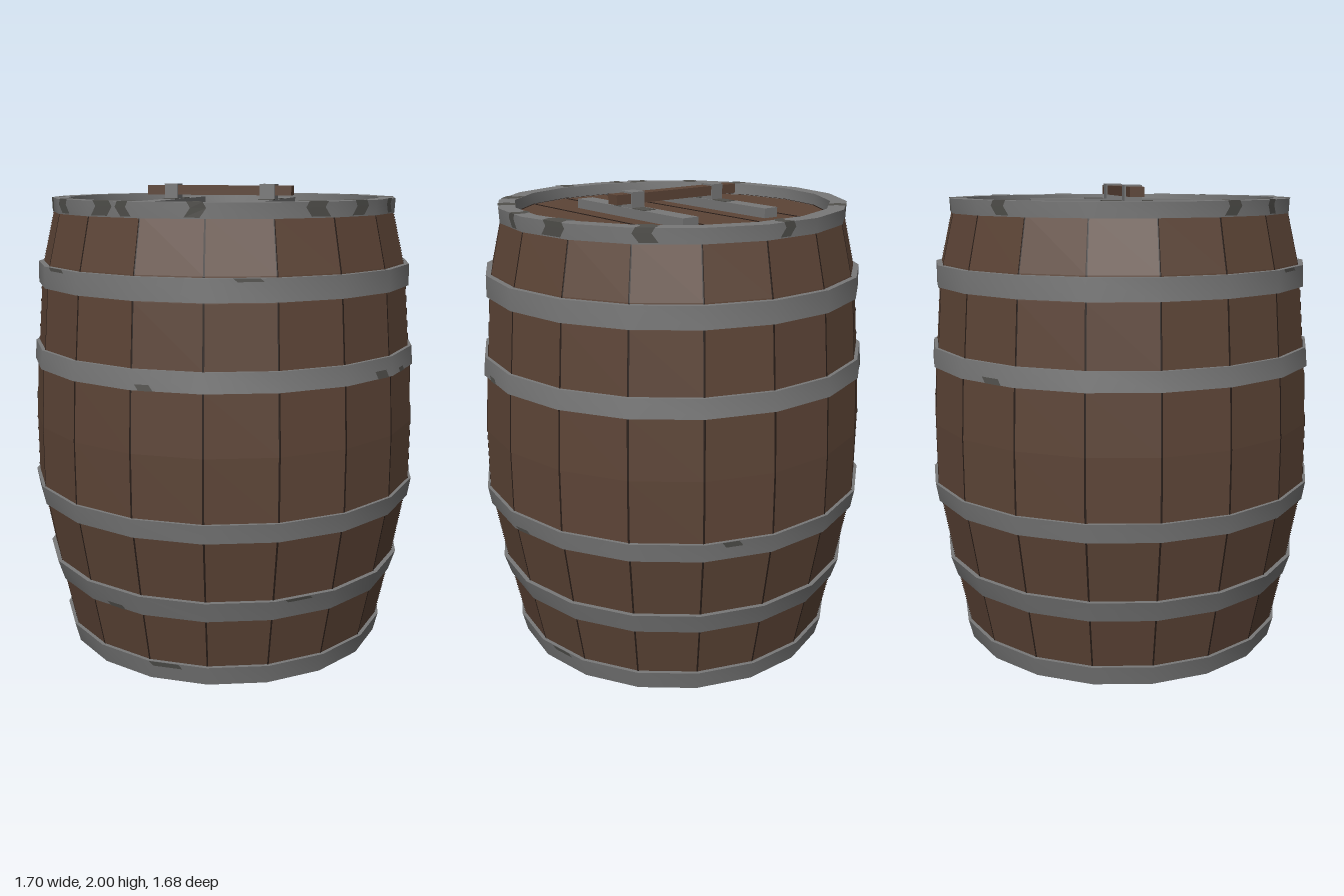
import * as THREE from 'three';
import { toCreasedNormals } from 'three/addons/utils/BufferGeometryUtils.js';

const SIDES = 18;
const STEP = (Math.PI * 2) / SIDES;
const START = STEP / 2; // puts a flat stave at the front

const material = (name, color) => {
  const m = new THREE.MeshStandardMaterial({ color });
  m.name = name;
  return m;
};

// Point on the 18-sided outline; t counts sides from the front right corner.
function outline(t, r, y) {
  const k = Math.floor(t), f = t - k;
  const a = START + k * STEP, b = a + STEP;
  return [
    r * (Math.sin(a) * (1 - f) + Math.sin(b) * f), y,
    r * (Math.cos(a) * (1 - f) + Math.cos(b) * f),
  ];
}

// Thin skin over the outline: rows are [radius, y, shift], columns are t values.
function skin(columns, rows) {
  const pos = [], index = [], n = columns.length;
  rows.forEach(([r, y, shift = 0]) => columns.forEach((t) => pos.push(...outline(t + shift, r, y))));
  for (let j = 0; j < rows.length - 1; j++) {
    for (let i = 0; i < n - 1; i++) {
      const a = j * n + i, b = a + 1, c = a + n, d = c + 1;
      index.push(a, b, d, a, d, c);
    }
  }
  const g = new THREE.BufferGeometry();
  g.setAttribute('position', new THREE.Float32BufferAttribute(pos, 3));
  g.setIndex(index);
  const flat = g.toNonIndexed();
  flat.computeVertexNormals();
  return flat;
}

const lathe = (profile, crease) => toCreasedNormals(
  new THREE.LatheGeometry(profile.map(([r, y]) => new THREE.Vector2(r, y)), SIDES, START), crease);

export function createModel() {
  const barrel = new THREE.Group();
  barrel.name = 'barrel';
  const wood = material('brown wood', 0x5c4436);
  const metal = material('grey metal', 0x787878);
  const worn = material('worn metal', 0x51504c);
  const gap = material('dark gap', 0x281d18);

  const add = (name, geometry, mat, x = 0, y = 0, z = 0) => {
    const mesh = new THREE.Mesh(geometry, mat);
    mesh.name = name;
    mesh.position.set(x, y, z);
    barrel.add(mesh);
    return mesh;
  };
  const box = (name, mat, x0, x1, y0, y1, z0, z1) => add(name,
    new THREE.BoxGeometry(x1 - x0, y1 - y0, z1 - z0), mat,
    (x0 + x1) / 2, (y0 + y1) / 2, (z0 + z1) / 2);

  // Bulging staves, flat on every side
  const staves = [
    [0.7, 0.03], [0.715, 0.09], [0.77, 0.35], [0.825, 0.66], [0.838, 0.74],
    [0.838, 1.0], [0.825, 1.25], [0.815, 1.33], [0.795, 1.58], [0.782, 1.68], [0.73, 1.9],
  ];
  add('staves', lathe(staves, 0.01), wood);

  // Dark seams along the stave corners
  const seamRows = staves.map(([r, y]) => [r + 0.002, y]);
  for (let k = 0; k < SIDES; k++) add('staveSeam', skin([k - 0.014, k, k + 0.014], seamRows), gap);

  // Hoops: bottom y, bottom radius, top y, top radius, thickness
  const hoops = [
    [0, 0.708, 0.085, 0.73, 0.075],
    [0.305, 0.768, 0.395, 0.797, 0.04],
    [0.66, 0.838, 0.74, 0.852, 0.04],
    [1.25, 0.837, 1.33, 0.83, 0.04],
    [1.585, 0.808, 1.675, 0.806, 0.04],
    [1.885, 0.737, 1.945, 0.74, 0.07],
  ];
  hoops.forEach(([y0, r0, y1, r1, w]) => add('hoop',
    lathe([[r0, y0], [r1, y1], [r1 - w, y1], [r0 - w, y0], [r0, y0]], 0.5), metal));

  // Worn patches wrapping over the top rim: side position and half width
  const rimPatches = [
    [-3.74, 0.13], [-2.78, 0.12], [-1.72, 0.16], [-1.3, 0.1], [-0.15, 0.12], [1.72, 0.16],
    [2.6, 0.14], [3.65, 0.1], [4.7, 0.2], [6.2, 0.14], [8.4, 0.1], [10.5, 0.13],
  ];
  rimPatches.forEach(([t, w], i) => {
    const s = (i % 2 ? 1 : -1) * 0.05;
    add('rimWear', skin([t - w, t + w], [
      [0.74, 1.89, s], [0.742, 1.925, -s], [0.743, 1.947, 0], [0.705, 1.947, s], [0.668, 1.947, -s],
    ]), worn);
  });

  // Small chips on the hoop edges: hoop, side position, half width, from and to up the hoop
  const chips = [
    [3, -0.8, 0.1, 0, 0.3], [3, 2.75, 0.12, 0, 0.4], [3, 3.4, 0.1, 0, 0.25], [4, 0.6, 0.18, 0.85, 1],
    [4, -2.6, 0.2, 0.85, 1], [2, 4.2, 0.12, 0, 0.2], [1, -1.5, 0.15, 0, 0.2], [1, 1.4, 0.2, 0.85, 1],
    [0, -0.7, 0.25, 0.75, 1], [0, 4.5, 0.2, 0.8, 1], [2, 7.4, 0.12, 0.7, 1], [3, 10.6, 0.15, 0, 0.3],
  ];
  chips.forEach(([h, t, w, v0, v1]) => {
    const [y0, r0, y1, r1] = hoops[h];
    const row = (v, s) => [r0 + (r1 - r0) * v + 0.003, y0 + (y1 - y0) * v, s];
    add('hoopWear', skin([t - w, t + w], [row(v0, 0.03), row(v1, -0.03)]), worn);
  });

  // Recessed lid and bottom
  const disc = (r) => new THREE.CylinderGeometry(r, r, 0.02, SIDES, 1, false, START);
  add('lid', disc(0.69), wood, 0, 1.885);
  add('bottom', disc(0.69), wood, 0, 0.05);
  const ring = new THREE.RingGeometry(0.658, 0.674, SIDES);
  ring.rotateX(-Math.PI / 2);
  add('lidEdgeGap', ring, gap, 0, 1.898);
  for (const x of [-0.333, -0.11, 0.115, 0.33, 0.51]) {
    const half = Math.sqrt(0.665 ** 2 - x * x) - 0.01;
    box('lidSeam', gap, x - 0.004, x + 0.004, 1.893, 1.897, -half, half);
  }

  // Lid straps, with the clasps that hold the wooden handle
  for (const [x0, x1] of [[-0.262, -0.192], [0.163, 0.24]]) {
    box('lidStrap', metal, x0, x1, 1.89, 1.935, -0.37, 0.36);
    box('handleClasp', metal, x0 + 0.006, x1 - 0.006, 1.93, 2.0, -0.03, 0.042);
    const xm = (x0 + x1) / 2;
    box('strapWear', worn, x0 + 0.01, x1 - 0.001, 1.934, 1.938, 0.045, 0.09);
    box('strapWear', worn, xm - 0.02, x1 - 0.001, 1.934, 1.938, -0.12, -0.04);
  }
  box('handle', wood, -0.335, 0.305, 1.953, 1.993, -0.024, 0.036);

  return barrel;
}
